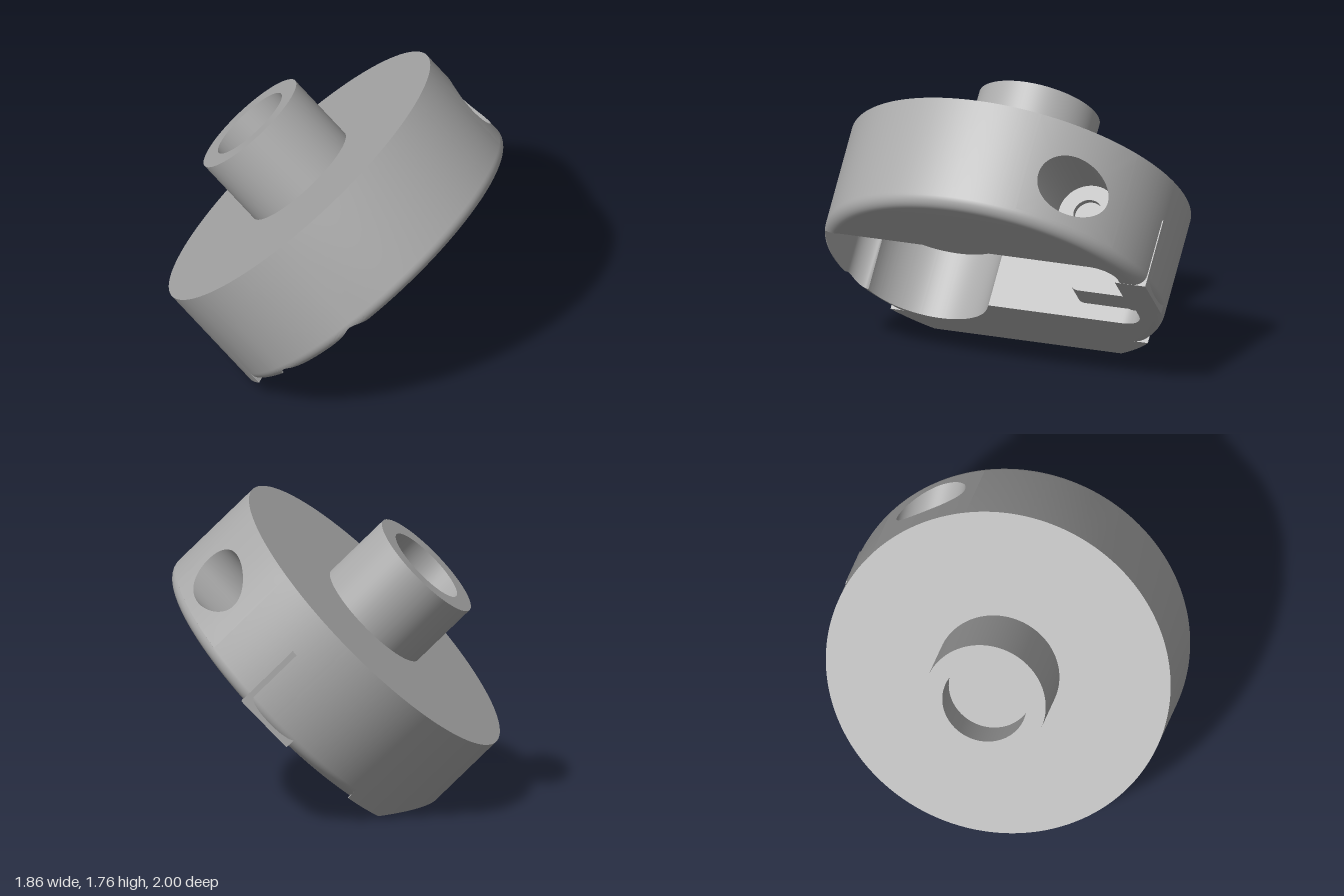
import * as THREE from 'three';
import { toCreasedNormals } from 'three/addons/utils/BufferGeometryUtils.js';

// Local frame: disc axis is y, underside at y = 0, disc radius 1. The whole is tilted 45 degrees.
const H = 0.668, F = 0.07, RF = 1 - F;          // thickness, edge rounding, start of rounding
const FOOT = -0.62, CUT = -0.824;               // square-edged foot, standing flat
const FLOOR = 0.62, SCALLOP_FLOOR = 0.41;       // recess depths
const BORE = { y: 0.31, z: -0.61, r: 0.175, end: 0.42 };
const Z0 = -0.85, Z1 = -0.37;                   // wall panel holding the bore

const grey = new THREE.MeshStandardMaterial({ color: 0xaaaaaa, side: THREE.DoubleSide });
grey.name = 'grey';

// Skin a grid of points: rows[i][j] -> [x, y, z]
function skin(rows, skip = () => false) {
  const pos = [];
  for (let i = 0; i < rows.length - 1; i++) {
    for (let j = 0; j < rows[i].length - 1; j++) {
      if (skip(i, j)) continue;
      const a = rows[i][j], b = rows[i][j + 1], c = rows[i + 1][j], d = rows[i + 1][j + 1];
      pos.push(...a, ...b, ...c, ...b, ...d, ...c);
    }
  }
  const g = new THREE.BufferGeometry();
  g.setAttribute('position', new THREE.Float32BufferAttribute(pos, 3));
  return toCreasedNormals(g, 0.5);
}

// Distance from the axis to the rounded rectangular pocket outline
function pocketRadius(c, s) {
  let lo = 0, hi = 1.2;
  for (let k = 0; k < 40; k++) {
    const m = (lo + hi) / 2;
    const qx = Math.abs(m * c) - 0.24, qz = Math.abs(m * s - 0.065) - 0.755;
    const d = Math.hypot(Math.max(qx, 0), Math.max(qz, 0)) + Math.min(Math.max(qx, qz), 0) - 0.14;
    if (d < 0) lo = m; else hi = m;
  }
  return lo;
}

// Distance from the axis to the far side of the round scallop
function scallopRadius(c, s) {
  const x = -0.285, z = 0.49, r = 0.375;
  const along = c * x + s * z, q = r * r - (x * x + z * z - along * along);
  return along > 0 && q > 0 ? along + Math.sqrt(q) : 0;
}

// Section from pocket floor, out across the underside, up the wall and over the top
function section(t) {
  const c = Math.cos(t), s = Math.sin(t);
  const rp = pocketRadius(c, s), ro = Math.max(rp, scallopRadius(c, s));
  const limit = c < 0 ? CUT / c : 9;
  const rin = Math.max(RF, ro);
  const edge = c < 0 ? FOOT / c : 9;
  const rs = Math.max(rin, Math.min(1, edge));
  const base = edge < 1 ? 0 : F;
  const angle = r => Math.asin(Math.min(1, (r - RF) / F));
  const p0 = angle(rin), p1 = angle(rs);
  const p = [[0, FLOOR], [rp, FLOOR], [rp, SCALLOP_FLOOR], [ro, SCALLOP_FLOOR]];
  p.push([ro, ro > RF ? F * (1 - Math.cos(p0)) : 0]);
  for (let k = 0; k <= 8; k++) {
    const a = p0 + (p1 - p0) * k / 8;
    p.push([Math.min(limit, RF + F * Math.sin(a)), F * (1 - Math.cos(a))]);
  }
  p.push([Math.min(limit, rs), base], [Math.min(limit, 1), base]);
  p.push([1, Math.max(base, CUT - c)], [1, H], [0.3, H]);
  return p.map(([r, y]) => [r * c, y, r * s]);
}

function discGeometry() {
  const angles = [Math.asin(Z0), Math.asin(Z1)];
  for (const u of [CUT, FOOT, FOOT / RF]) angles.push(Math.acos(u), -Math.acos(u));
  for (let k = 0; k < 720; k++) angles.push(-Math.PI + k * Math.PI / 360);
  angles.push(Math.PI);
  angles.sort((a, b) => a - b);
  const rows = angles.map(section), wall = rows[0].length - 3;
  const inPanel = i => {
    const m = (angles[i] + angles[i + 1]) / 2;
    return m > Math.asin(Z0) && m < Math.asin(Z1);
  };
  return skin(rows, (i, j) => j === wall && inPanel(i));
}

// Curved wall panel around the bore, then the bore and its stepped end
function boreGeometries() {
  const panel = [], tube = [];
  const onWall = (z, y) => [Math.sqrt(1 - z * z), y, z];
  for (let i = 0; i <= 64; i++) {
    const t = i / 64 * Math.PI * 2, c = Math.cos(t), s = Math.sin(t);
    const m = Math.max(Math.abs(c), Math.abs(s));
    const z = BORE.z + BORE.r * c, y = BORE.y + BORE.r * s;
    const ez = BORE.z + c / m * (Z1 - Z0) / 2;
    const ey = BORE.y + s / m * (s > 0 ? H - BORE.y : BORE.y - F);
    const row = [];
    for (let k = 0; k <= 8; k++) row.push(onWall(z + (ez - z) * k / 8, y + (ey - y) * k / 8));
    panel.push(row.reverse());
    const ring = (u, r) => [u, BORE.y + r * s, BORE.z + r * c];
    tube.push([onWall(z, y), ring(BORE.end, BORE.r), ring(BORE.end, 0.085), ring(0.385, 0.085), ring(0.385, 0)]);
  }
  return [skin(panel), skin(tube)];
}

// Lug in the pocket: rounded lower corners and a cross hole
function lugGeometry() {
  const a = 0.38, b = 0.8, y = 0.094, r = 0.06;
  const s = new THREE.Shape();
  s.moveTo(a, FLOOR);
  s.lineTo(a, y + r);
  s.absarc(a + r, y + r, r, Math.PI, 1.5 * Math.PI, false);
  s.absarc(b - r, y + r, r, 1.5 * Math.PI, 2 * Math.PI, false);
  s.lineTo(b, FLOOR);
  const hole = new THREE.Path();
  hole.absarc(-BORE.z, BORE.y, 0.085, 0, Math.PI * 2, true);
  s.holes.push(hole);
  const g = new THREE.ExtrudeGeometry(s, { depth: 0.17, bevelEnabled: false, curveSegments: 24 });
  return toCreasedNormals(g.rotateY(Math.PI / 2), 0.5);
}

export function createModel() {
  const model = new THREE.Group();
  model.name = 'tiltedDisc';
  const body = new THREE.Group();
  body.name = 'body';
  body.rotation.z = Math.PI / 4;
  body.position.set(0.2475, 0.5825, 0);
  model.add(body);
  const add = (name, geometry, x = 0, y = 0, z = 0) => {
    const mesh = new THREE.Mesh(geometry, grey);
    mesh.name = name;
    mesh.position.set(x, y, z);
    body.add(mesh);
  };

  add('disc', discGeometry());
  const [panel, bore] = boreGeometries();
  add('borePanel', panel);
  add('sideBore', bore);

  // Hollow boss on the upper face
  const profile = [[0.355, H], [0.355, 1.092], [0.245, 1.092], [0.245, 0.892], [0, 0.892]];
  const boss = new THREE.LatheGeometry(profile.map(p => new THREE.Vector2(...p)), 96);
  add('boss', toCreasedNormals(boss, 0.5));

  // Pair of lugs and the square key on the rim
  add('lowerLug', lugGeometry(), -0.38);
  add('upperLug', lugGeometry(), 0.21);
  add('rimKey', new THREE.BoxGeometry(0.37, 0.42, 0.185), 0.02, 0.209, -0.8925);
  return model;
}
